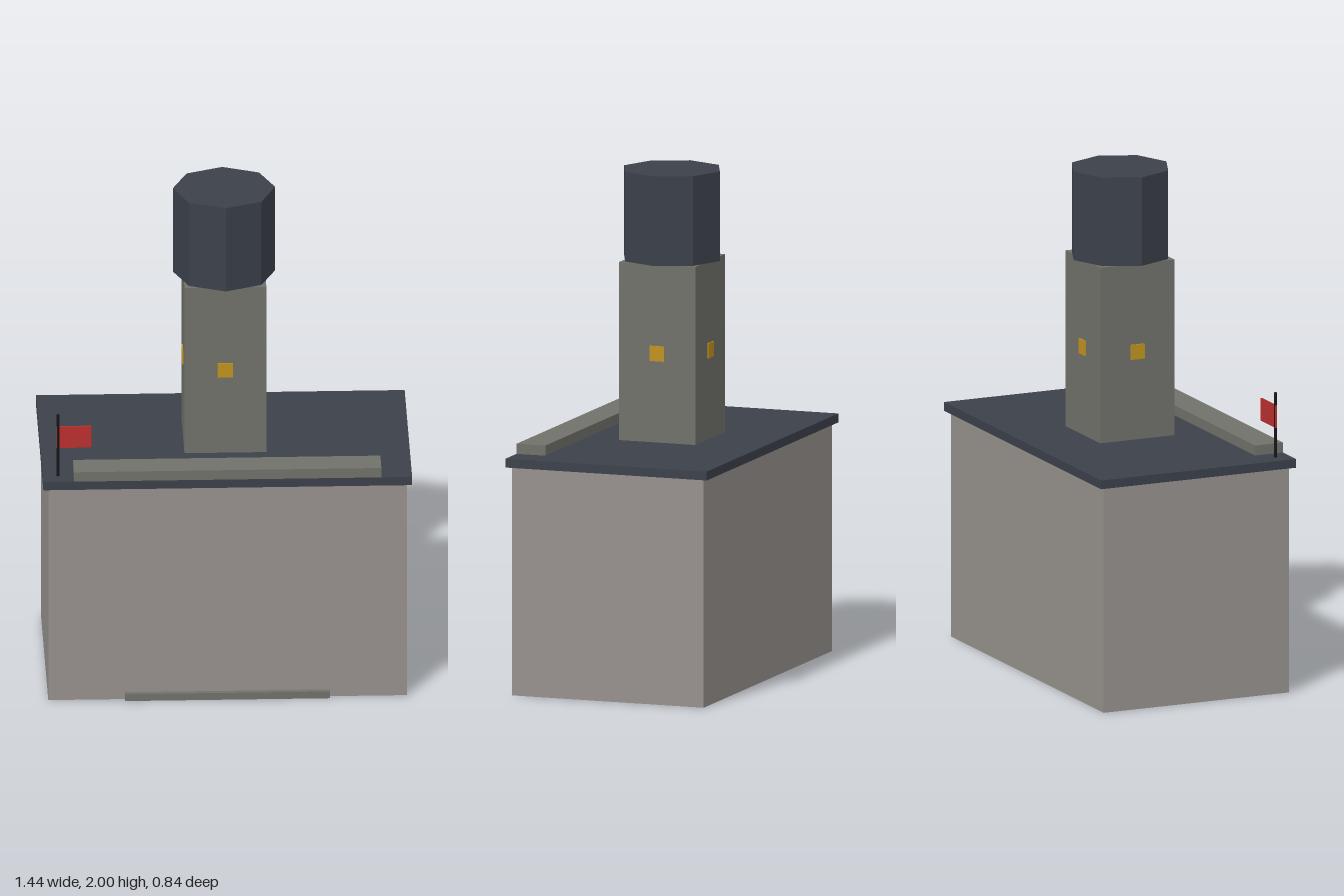
import * as THREE from 'three';

const mat = (color) => new THREE.MeshStandardMaterial({ color, flatShading: true });

export function createModel() {
  const group = new THREE.Group();
  const wall = mat(0x96918d);
  const stone = mat(0x70716a);
  const slate = mat(0x3b404a);
  const amber = mat(0xc0921e);
  const red = mat(0xba2f2f);
  const black = mat(0x151515);

  const add = (name, geometry, material, x, y, z) => {
    const mesh = new THREE.Mesh(geometry, material);
    mesh.name = name;
    mesh.position.set(x, y, z);
    group.add(mesh);
    return mesh;
  };
  // Box given by its extents
  const box = (name, material, [x0, x1], [y0, y1], [z0, z1]) =>
    add(name, new THREE.BoxGeometry(x1 - x0, y1 - y0, z1 - z0), material,
      (x0 + x1) / 2, (y0 + y1) / 2, (z0 + z1) / 2);

  // Main hall with its roof slab, front parapet and doorstep
  box('hall', wall, [-0.7, 0.7], [0.001, 0.905], [-0.4, 0.4]);
  box('roofSlab', slate, [-0.72, 0.72], [0.905, 0.94], [-0.42, 0.42]);
  box('parapet', stone, [-0.6, 0.6], [0.94, 0.98], [0.3, 0.42]);
  box('doorstep', stone, [-0.4, 0.4], [0.001, 0.03], [0.36, 0.42]);

  // Columns set into the front wall, showing only at the base
  for (const x of [-0.45, -0.15, 0.15, 0.45]) {
    add('column', new THREE.CylinderGeometry(0.03, 0.03, 0.9, 8), stone, x, 0.45, 0.35);
  }

  // Square tower with an octagonal cap
  box('tower', stone, [-0.16, 0.16], [0.94, 1.645], [-0.16, 0.16]);
  add('towerCap', new THREE.CylinderGeometry(0.2, 0.2, 0.355, 8), slate, 0, 1.8225, 0);

  // One lit window on each tower face
  for (let i = 0; i < 4; i++) {
    const a = (i * Math.PI) / 2;
    const pane = add('towerWindow', new THREE.BoxGeometry(0.06, 0.06, 0.02), amber,
      Math.sin(a) * 0.155, 1.292, Math.cos(a) * 0.155);
    pane.rotation.y = a;
  }

  // Flag at the front corner
  add('flagPole', new THREE.CylinderGeometry(0.006, 0.006, 0.26, 8), black, -0.66, 1.07, 0.36);
  box('flag', red, [-0.667, -0.53], [1.06, 1.15], [0.356, 0.364]);

  return group;
}
